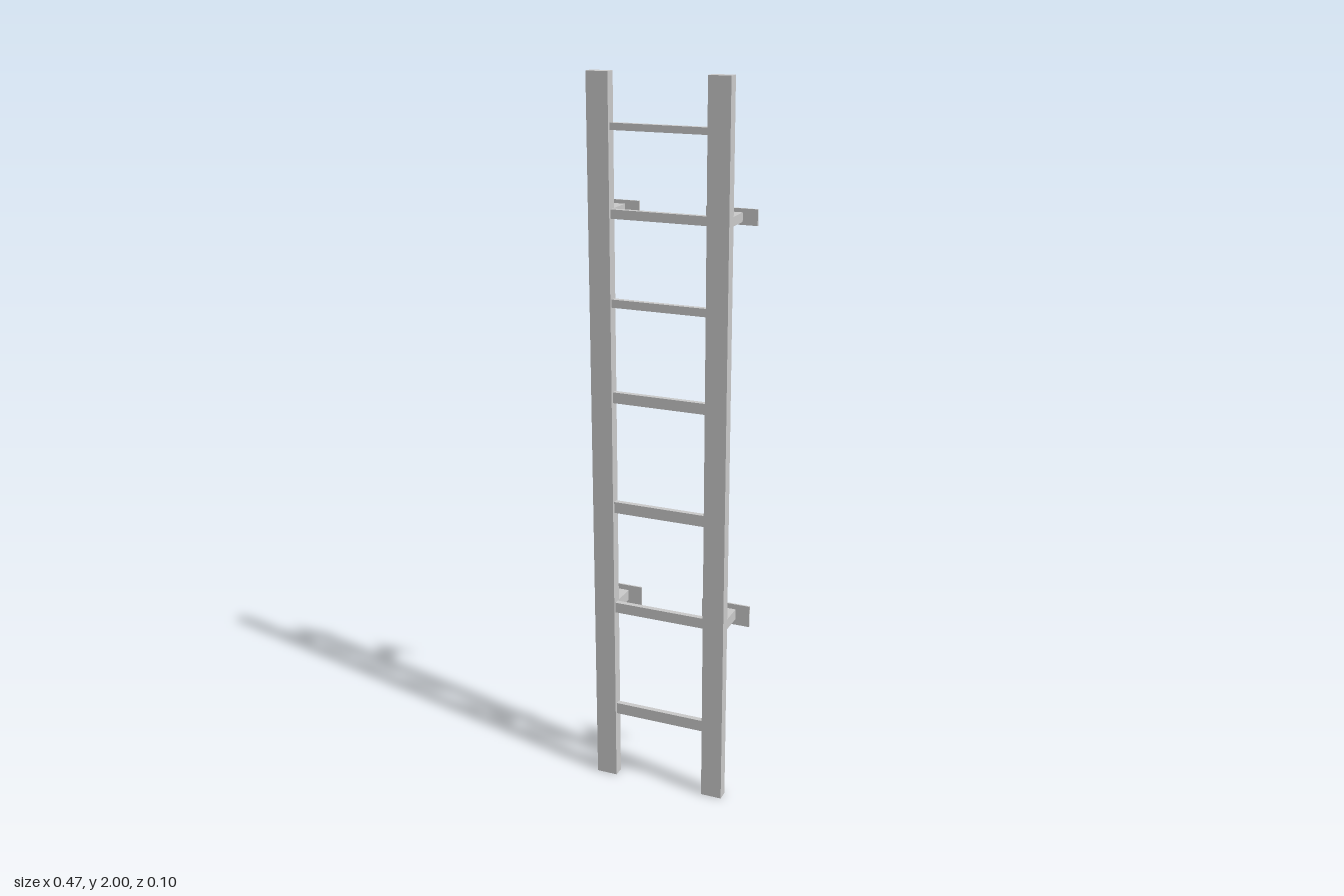
import * as THREE from 'three';

export function createModel() {
  const model = new THREE.Group();
  const material = new THREE.MeshStandardMaterial({ color: 0xcccccc, flatShading: true });

  // Box given by its min and max corners
  function box(name, [x0, y0, z0], [x1, y1, z1], parent = model) {
    const mesh = new THREE.Mesh(new THREE.BoxGeometry(x1 - x0, y1 - y0, z1 - z0), material);
    mesh.position.set((x0 + x1) / 2, (y0 + y1) / 2, (z0 + z1) / 2);
    mesh.name = name;
    parent.add(mesh);
  }

  const railIn = 0.133, railOut = 0.193, railBack = 0.02, railFront = 0.051;

  // Side rails
  box('leftRail', [railIn, 0, railBack], [railOut, 2, railFront]);
  box('rightRail', [-railOut, 0, railBack], [-railIn, 2, railFront]);

  // Rungs: bottom and top heights, thinner towards the top
  const rungs = [
    [0.2, 0.233], [0.522, 0.552], [0.824, 0.856], [1.14, 1.17],
    [1.401, 1.423], [1.634, 1.658], [1.857, 1.875],
  ];
  rungs.forEach(([y0, y1], i) => {
    box(`rung${i + 1}`, [-railIn, y0, 0.028], [railIn, y1, 0.043]);
  });

  // Wall brackets: a standoff arm behind each rail ending in a wide plate
  const brackets = [
    { level: 'lower', arm: [0.522, 0.552], plate: [0.505, 0.567] },
    { level: 'upper', arm: [1.634, 1.658], plate: [1.626, 1.668] },
  ];
  for (const { level, arm, plate } of brackets) {
    for (const [side, x] of [['Left', 0.163], ['Right', -0.163]]) {
      const bracket = new THREE.Group();
      bracket.name = `${level}${side}Bracket`;
      box('standoffArm', [x - 0.03, arm[0], -0.047], [x + 0.03, arm[1], railBack], bracket);
      box('wallPlate', [x - 0.07, plate[0], -0.052], [x + 0.07, plate[1], -0.047], bracket);
      model.add(bracket);
    }
  }
  return model;
}
